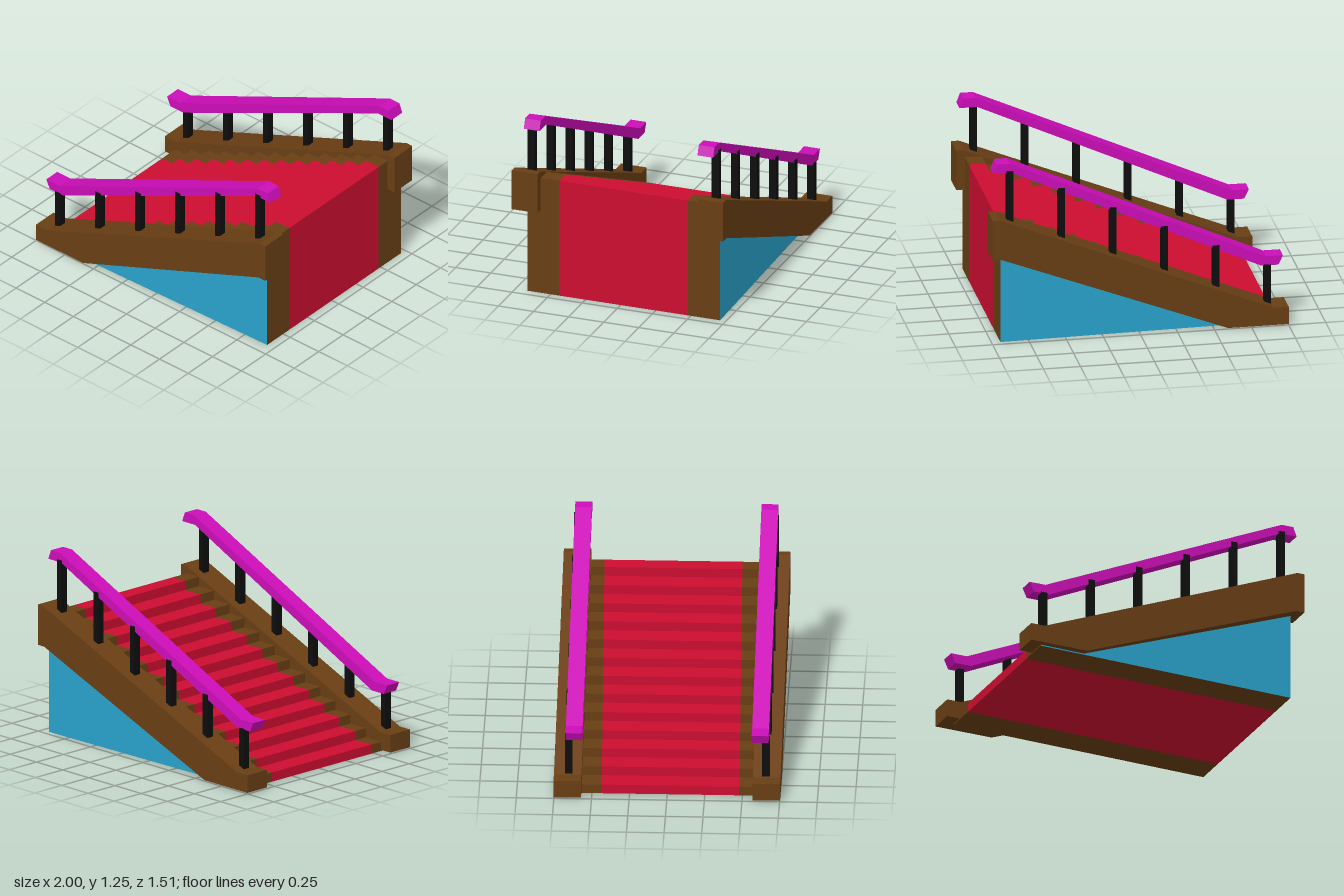
import * as THREE from 'three';

const mat = (color) => new THREE.MeshStandardMaterial({ color, flatShading: true });

// Extrude an [x, y] outline between two z values
function slab(points, z0, z1) {
  const shape = new THREE.Shape(points.map(([x, y]) => new THREE.Vector2(x, y)));
  const geo = new THREE.ExtrudeGeometry(shape, { depth: z1 - z0, bevelEnabled: false });
  return geo.translate(0, 0, z0);
}

// The stair body drifts slightly in z along its length
function skew(geo) {
  const p = geo.attributes.position;
  for (let i = 0; i < p.count; i++) p.setZ(i, p.getZ(i) - 0.0243 * (p.getX(i) - 0.015));
  geo.computeVertexNormals();
  return geo;
}

export function createModel() {
  const model = new THREE.Group();
  model.name = 'staircase';
  const wood = mat(0x693e14);
  const carpetRed = mat(0xcc0d30);
  const blue = mat(0x29a3cc);
  const magenta = mat(0xcc0db8);
  const black = mat(0x0d0d0d);

  function add(name, geo, material, parent = model) {
    const mesh = new THREE.Mesh(geo, material);
    mesh.name = name;
    parent.add(mesh);
    return mesh;
  }

  // Stepped outline shared by the carpet and the wooden edges
  const steps = 13, x0 = -0.91, x1 = 0.94, run = 0.1447, rise = 0.83 / steps;
  const outline = [[x0, 0]];
  for (let i = 0; i < steps; i++) {
    const x = x0 + i * run;
    outline.push([x, (i + 1) * rise], [i === steps - 1 ? x1 : x + run, (i + 1) * rise]);
  }
  outline.push([x1, 0]);

  add('carpet', skew(slab(outline, -0.458, 0.458)), carpetRed);
  // Wooden step edges with blue outer walls
  add('leftStepEdge', skew(slab(outline, 0.458, 0.687)), [blue, wood]);
  add('rightStepEdge', skew(slab(outline, -0.687, -0.458)), [blue, wood]);

  const stringer = [
    [-1, 0.008], [-0.59, 0.008], [0.94, 0.6], [1, 0.6],
    [1, 0.88], [0.95, 0.88], [-0.9, 0.13], [-1, 0.13],
  ];
  const rail = [
    [-0.945, 0.405], [-0.83, 0.405], [0.86, 1.185], [0.98, 1.185],
    [0.955, 1.25], [0.87, 1.25], [-0.86, 0.47], [-0.975, 0.47],
  ];

  for (const [side, s] of [['left', 1], ['right', -1]]) {
    const group = new THREE.Group();
    group.name = side + 'Banister';
    model.add(group);
    const span = (a, b) => (s > 0 ? [a, b] : [-b, -a]);

    add('stringer', slab(stringer, ...span(0.57, 0.753)), wood, group);
    add('handrail', slab(rail, ...span(0.563, 0.675)), magenta, group);

    // Posts from inside the stringer up into the handrail
    for (let i = 0; i < 6; i++) {
      const x = -0.87 + i * 0.348;
      const bottom = 0.1 + 0.405 * (x + 0.9);
      const top = Math.min(0.43 + 0.4615 * (x + 0.83), 1.2);
      const post = add('post', new THREE.BoxGeometry(0.045, top - bottom, 0.05), black, group);
      post.position.set(x, (top + bottom) / 2, s * 0.656);
    }
  }
  return model;
}
